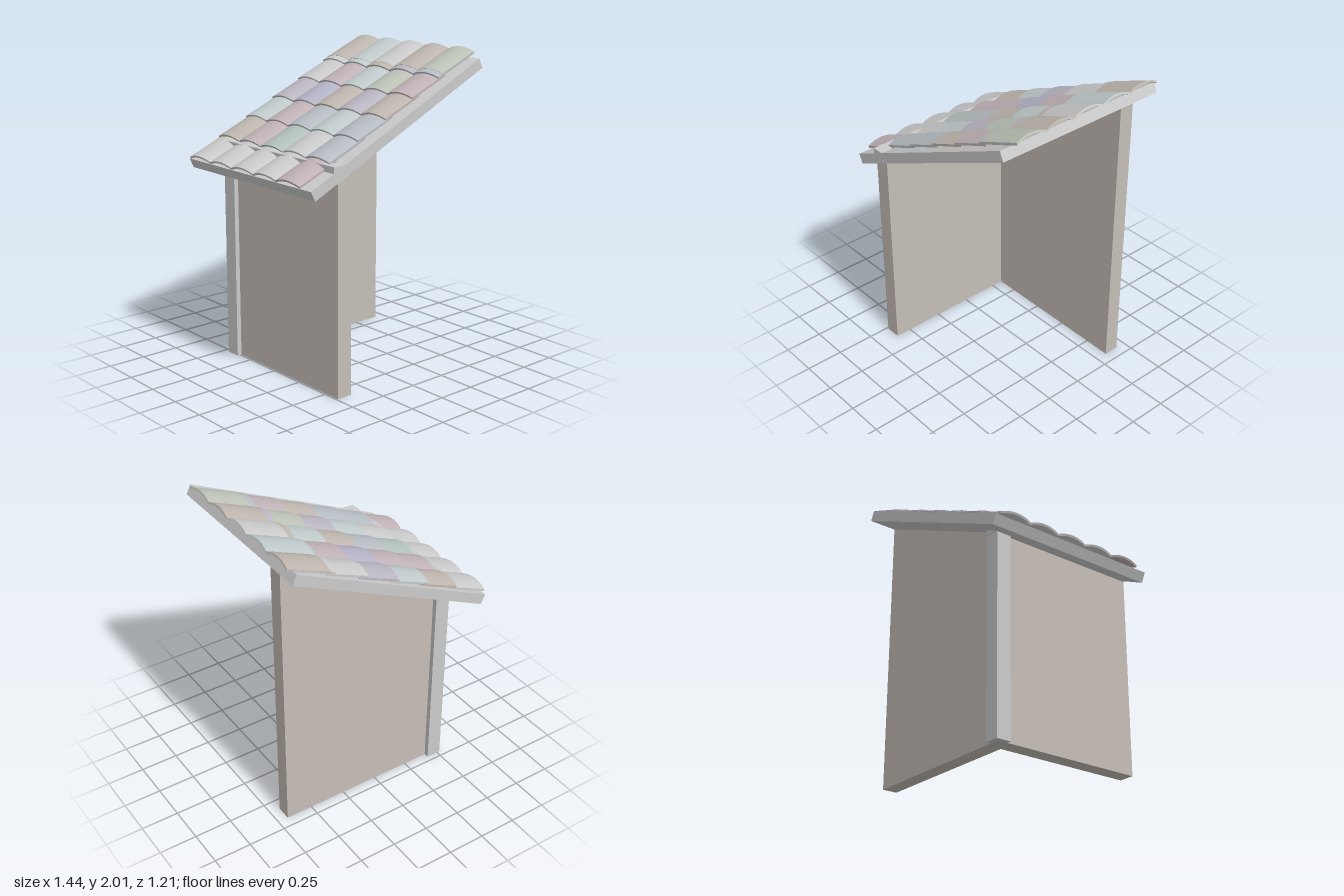
import * as THREE from 'three';

const mat = (color) => new THREE.MeshStandardMaterial({ color });
const grey = mat(0xcccccc);
const plaster = mat(0xc6beb7);

// Extrudes an x/y outline between two z positions
function slab(name, points, z0, z1, material) {
  const shape = new THREE.Shape(points.map(([x, y]) => new THREE.Vector2(x, y)));
  const geo = new THREE.ExtrudeGeometry(shape, { depth: z1 - z0, bevelEnabled: false });
  geo.translate(0, 0, z0);
  const mesh = new THREE.Mesh(geo, material);
  mesh.name = name;
  return mesh;
}

const rect = (x0, y0, x1, y1) => [[x0, y0], [x1, y0], [x1, y1], [x0, y1]];

// Underside of the sloping roof
const underside = (x) => 1.25 + (x + 0.66) * 0.4663;

const wallOutline = (x0, x1) => [[x0, 0], [x1, 0], [x1, underside(x1)], [x0, underside(x0)]];

// Shallow arched tile: length runs along +x, arch spans z, crown of the low end at the origin
function tileGeometry(length, width, rise, thick) {
  const n = 8, shape = new THREE.Shape();
  const arch = (t) => -rise * (2 * t - 1) ** 2;
  for (let i = 0; i <= n; i++) {
    const t = i / n, p = [(t - 0.5) * width, arch(t)];
    i ? shape.lineTo(...p) : shape.moveTo(...p);
  }
  for (let i = n; i >= 0; i--) shape.lineTo((i / n - 0.5) * width, arch(i / n) - thick);
  const geo = new THREE.ExtrudeGeometry(shape, { depth: length, bevelEnabled: false });
  geo.rotateY(Math.PI / 2);
  return geo;
}

export function createModel() {
  const model = new THREE.Group();
  model.name = 'leanToShelter';

  // Walls, corner post and eaves beam
  model.add(slab('backWall', wallOutline(-0.49, 0.68), -0.43, -0.33, plaster));
  model.add(slab('sideWall', wallOutline(-0.49, -0.385), -0.43, 0.607, plaster));
  model.add(slab('cornerPost', rect(-0.52, 0, -0.42, 1.33), -0.463, -0.363, grey));
  model.add(slab('eavesBeam', rect(-0.52, 1.325, -0.42, 1.43), -0.468, 0.606, grey));

  // Roof board
  const board = [[-0.66, 1.25], [0.706, 1.89], [0.678, 1.951], [-0.69, 1.311]];
  model.add(slab('roofBoard', board, -0.605, 0.605, grey));

  // Tiles: each string is one column from eaves to ridge, letters pick the tint
  const tints = {
    g: mat(0xcccccc), b: mat(0xc0b8b0), t: mat(0xc2cccc), v: mat(0xbcb8c4), p: mat(0xc2b4b8),
    u: mat(0xb6b4c8), e: mat(0xb4c2be), n: mat(0xbec4b8), s: mat(0xb8bec4)
  };
  const columns = ['gbtvggb', 'gppuptt', 'gesbtbg', 'ggtvnvb', 'pssbpsn'];
  const rowStarts = [-0.715, -0.49, -0.27, -0.05, 0.17, 0.39, 0.43];
  const tile = tileGeometry(0.302, 0.22, 0.024, 0.014);
  const tiles = new THREE.Group();
  tiles.name = 'roofTiles';
  columns.forEach((column, c) => {
    rowStarts.forEach((x, r) => {
      const mesh = new THREE.Mesh(tile, tints[column[r]]);
      mesh.name = 'roofTile';
      mesh.position.set(x, 1.457 + (x + 0.49) * 0.472, -0.465 + c * 0.2185);
      mesh.rotation.z = 0.395;
      tiles.add(mesh);
    });
  });
  model.add(tiles);
  return model;
}
